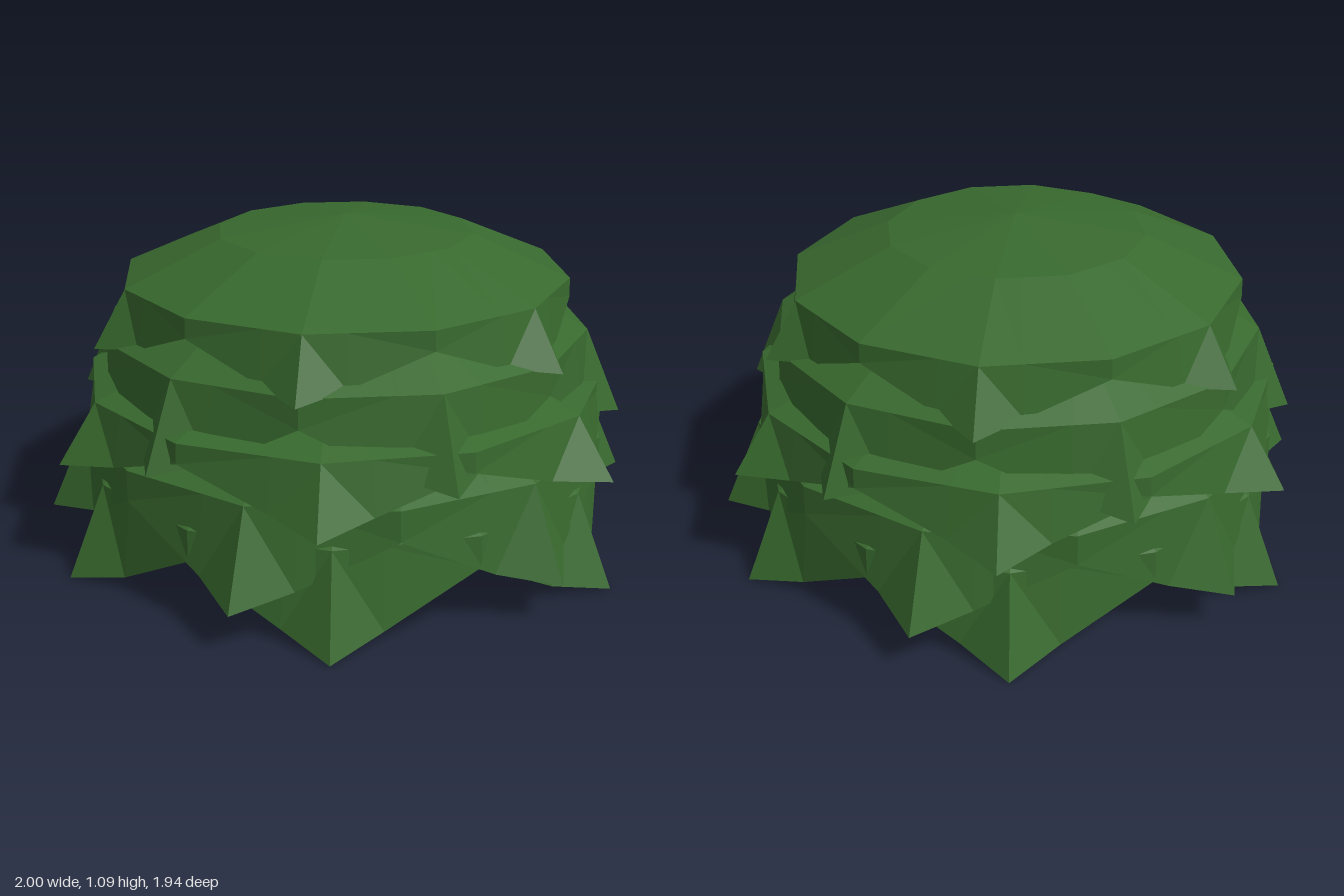
import * as THREE from 'three';

const leafGreen = new THREE.MeshStandardMaterial({ color: 0x38692e, flatShading: true, side: THREE.DoubleSide });
leafGreen.name = 'leafGreen';

// Leaf tiers from top to bottom: turn in degrees, radius at the tips, height of the tips, total height
const TIERS = [
  { turn: -20, radius: 0.845, base: 0.72, height: 0.37 },
  { turn: 10, radius: 0.92, base: 0.46, height: 0.55 },
  { turn: -15, radius: 0.995, base: 0.38, height: 0.38 },
  { turn: 30, radius: 1.0, base: 0.13, height: 0.58 },
  { turn: -13, radius: 0.995, base: 0, height: 0.6 },
];
const TIPS = 6;

const polar = (degrees, r, y) => {
  const a = THREE.MathUtils.degToRad(degrees);
  return new THREE.Vector3(r * Math.sin(a), y, r * Math.cos(a));
};

// Twelve-sided ring with an extra point a third of the way along each side, next to the tip
function ring(r, y) {
  const points = [];
  for (let a = 0; a < 360; a += 360 / TIPS) {
    const tip = polar(a, r, y), notch = polar(a + 30, r, y), next = polar(a + 60, r, y);
    points.push(tip, tip.clone().lerp(notch, 1 / 3), notch, next.clone().lerp(notch, 1 / 3));
  }
  return points;
}

// Jagged lower edge: tip, shoulder, notch, shoulder
function hem() {
  const points = [];
  for (let a = 0; a < 360; a += 360 / TIPS) {
    points.push(polar(a, 1, 0), polar(a + 10, 0.88, 0.065), polar(a + 30, 0.875, 0.33), polar(a + 50, 0.88, 0.065));
  }
  return points;
}

// A shallow dome with a jagged skirt, of unit radius and height
function tierGeometry() {
  const apex = new THREE.Vector3(0, 1, 0);
  const rings = [ring(0.5, 0.865), ring(0.873, 0.5), hem()];
  const n = rings[0].length;
  const triangles = [];
  for (let i = 0; i < n; i++) {
    const j = (i + 1) % n;
    triangles.push(apex, rings[0][i], rings[0][j]);
    for (let s = 0; s < 2; s++) {
      const up = rings[s], low = rings[s + 1];
      // Diagonals mirror on either side of each tip
      if (i % 4 < 2) triangles.push(up[i], low[i], low[j], up[i], low[j], up[j]);
      else triangles.push(up[i], low[i], up[j], up[j], low[i], low[j]);
    }
  }
  const geometry = new THREE.BufferGeometry().setFromPoints(triangles);
  geometry.computeVertexNormals();
  return geometry;
}

export function createModel() {
  const bush = new THREE.Group();
  bush.name = 'bush';
  const geometry = tierGeometry();
  TIERS.forEach(({ turn, radius, base, height }, i) => {
    const tier = new THREE.Mesh(geometry, leafGreen);
    tier.name = `leafTier${i + 1}`;
    tier.position.y = base;
    tier.rotation.y = THREE.MathUtils.degToRad(turn);
    tier.scale.set(radius, height, radius);
    bush.add(tier);
  });
  return bush;
}
